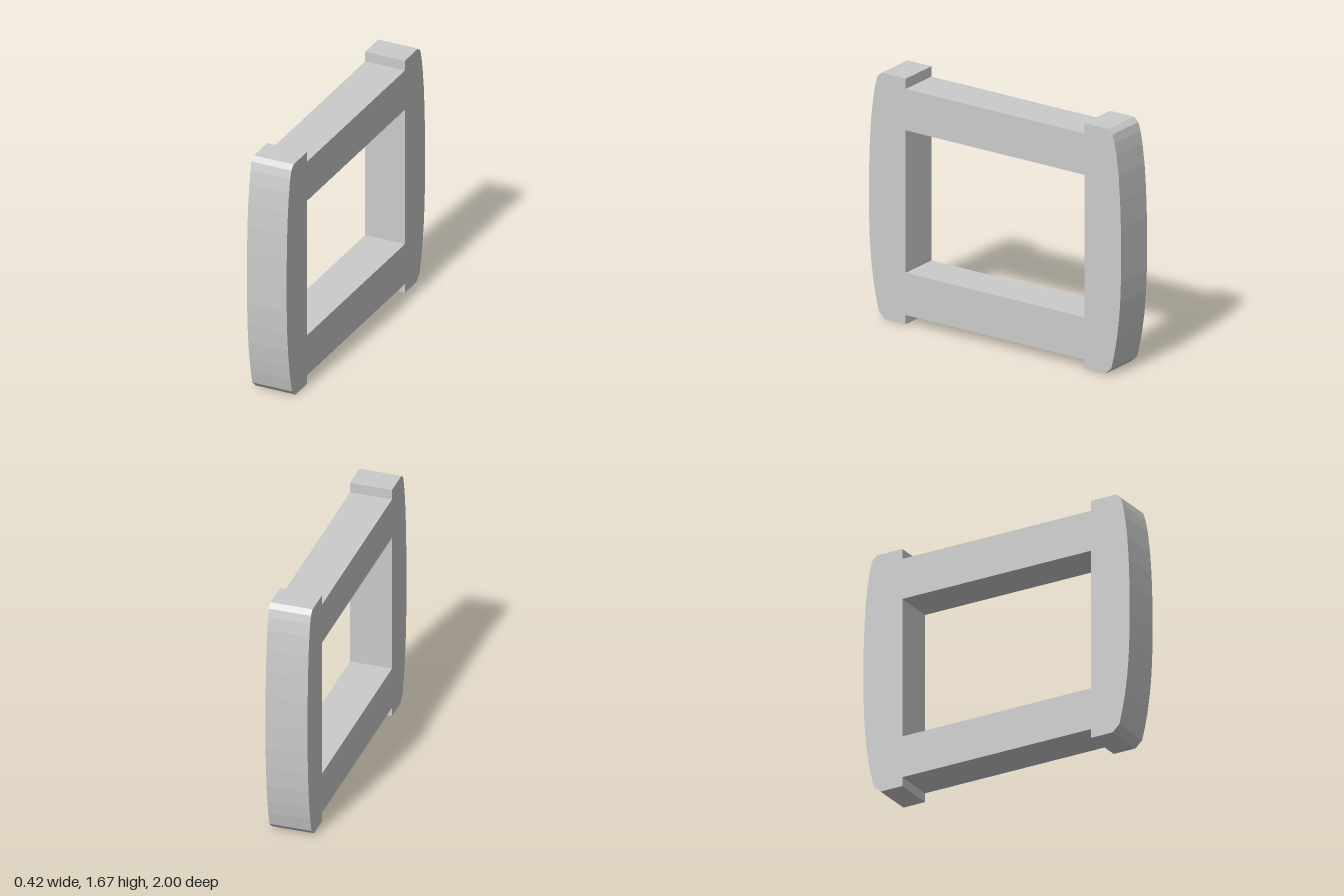
import * as THREE from 'three';

const THICKNESS = 0.283;
const YAW = -0.0685;

// Outer curve of one end cap, bottom to top: [distance from centre, height]
const END_CURVE = [
  [0.865, 0], [0.915, 0.045], [0.938, 0.14], [0.956, 0.235], [0.973, 0.36], [0.985, 0.5],
  [0.991, 0.65], [0.992, 0.83], [0.991, 1.02], [0.985, 1.2], [0.974, 1.36],
  [0.957, 1.5], [0.941, 1.585], [0.925, 1.64], [0.892, 1.67],
];

const INNER = 0.703;                       // inner face of the end posts
const RAIL_BOTTOM = 0.062, RAIL_TOP = 1.6; // outer faces of the rails
const HOLE_BOTTOM = 0.35, HOLE_TOP = 1.318;

export function createModel() {
  const model = new THREE.Group();
  model.name = 'frameModel';

  // Half outline: rail bottom, stepped post, curved end, rail top
  const half = [
    [INNER, RAIL_BOTTOM], [INNER, 0], ...END_CURVE, [INNER, 1.67], [INNER, RAIL_TOP],
  ];
  const mirrored = half.map(([u, y]) => [-u, y]).reverse();
  const outline = [...half, ...mirrored].map(([u, y]) => new THREE.Vector2(u, y));
  const shape = new THREE.Shape(outline);

  // Rectangular opening
  shape.holes.push(new THREE.Path([
    new THREE.Vector2(-INNER, HOLE_BOTTOM), new THREE.Vector2(-INNER, HOLE_TOP),
    new THREE.Vector2(INNER, HOLE_TOP), new THREE.Vector2(INNER, HOLE_BOTTOM),
  ]));

  const geometry = new THREE.ExtrudeGeometry(shape, { depth: THICKNESS, bevelEnabled: false });
  geometry.translate(0, 0, -THICKNESS / 2);
  geometry.rotateY(Math.PI / 2 + YAW); // stands edge-on, slightly turned

  const frame = new THREE.Mesh(
    geometry,
    new THREE.MeshStandardMaterial({ color: 0xcccccc, flatShading: true }),
  );
  frame.name = 'frame';
  model.add(frame);
  return model;
}
